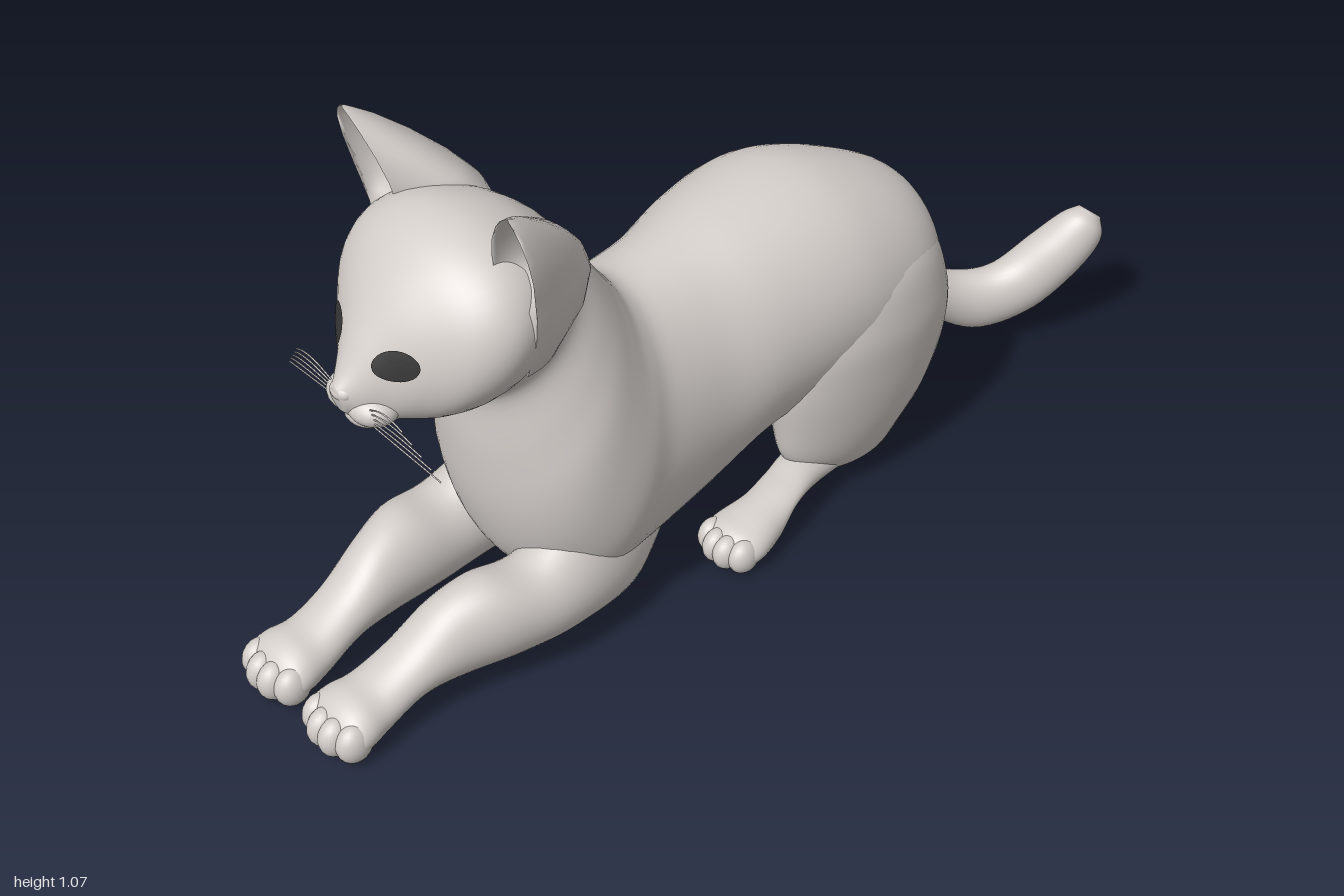
import * as THREE from 'three';

const fur = new THREE.MeshStandardMaterial({ color: 0xd3cdc9 });
fur.name = 'fur';
const dark = new THREE.MeshStandardMaterial({ color: 0x353535 });
dark.name = 'eyeDark';

const MID = 0.018; // the head and limbs sit slightly to the model's left

// Smooth closed skin through loops of points, with a pole at each end
function skin(loops) {
  const n = loops[0].length, pos = [], idx = [];
  loops.forEach(l => l.forEach(p => pos.push(p.x, p.y, p.z)));
  for (let i = 0; i < loops.length - 1; i++) for (let j = 0; j < n; j++) {
    const a = i * n + j, b = i * n + (j + 1) % n;
    idx.push(a, b, a + n, b, b + n, a + n);
  }
  [0, loops.length - 1].forEach((row, end) => {
    const c = new THREE.Vector3();
    loops[row].forEach(p => c.addScaledVector(p, 1 / n));
    const pole = pos.length / 3;
    pos.push(c.x, c.y, c.z);
    for (let j = 0; j < n; j++) {
      const a = row * n + j, b = row * n + (j + 1) % n;
      end ? idx.push(a, b, pole) : idx.push(b, a, pole);
    }
  });
  // turn the faces outward if the enclosed volume is negative
  const at = i => new THREE.Vector3().fromArray(pos, i * 3);
  let volume = 0;
  for (let i = 0; i < idx.length; i += 3) volume += at(idx[i]).dot(at(idx[i + 1]).cross(at(idx[i + 2])));
  if (volume < 0) idx.reverse();
  const g = new THREE.BufferGeometry();
  g.setAttribute('position', new THREE.Float32BufferAttribute(pos, 3));
  g.setIndex(idx);
  g.computeVertexNormals();
  return g;
}

// Loft through oval sections: [centre x, half width, z1, y1, z2, y2, egg]
// (z1, y1) and (z2, y2) are opposite ends of the oval; egg widens the first end
function loft(rows, steps = 6, sides = 40) {
  const curve = f => new THREE.CatmullRomCurve3(rows.map(f), false, 'catmullrom', 0.5);
  const first = curve(r => new THREE.Vector3(0, r[3], r[2]));
  const second = curve(r => new THREE.Vector3(0, r[5], r[4]));
  const size = curve(r => new THREE.Vector3(r[0], r[1], r[6] || 0));
  const loops = [], count = (rows.length - 1) * steps;
  for (let i = 0; i <= count; i++) {
    const t = i / count, a = first.getPoint(t), b = second.getPoint(t), s = size.getPoint(t);
    loops.push(Array.from({ length: sides }, (_, j) => {
      const q = j / sides * Math.PI * 2;
      const p = b.clone().lerp(a, 0.5 + 0.5 * Math.sin(q));
      p.x = s.x + s.y * Math.cos(q) * (1 + s.z * Math.sin(q));
      return p;
    }));
  }
  return skin(loops);
}

function add(parent, name, geometry, material = fur) {
  const m = new THREE.Mesh(geometry, material);
  m.name = name;
  parent.add(m);
  return m;
}

function ball(parent, name, x, y, z, rx, ry, rz) {
  const m = add(parent, name, new THREE.SphereGeometry(1, 20, 14));
  m.position.set(x, y, z);
  m.scale.set(rx, ry, rz);
}

// Torso, neck and head as one continuous skin
const bodyRows = [
  [0.05, 0.05, -0.52, 0.5, -0.53, 0.4],
  [0.04, 0.14, -0.48, 0.58, -0.5, 0.27],
  [0.03, 0.198, -0.4, 0.635, -0.42, 0.21],
  [0.01, 0.236, -0.28, 0.68, -0.28, 0.19],
  [0, 0.242, -0.18, 0.69, -0.16, 0.18],
  [0, 0.225, -0.05, 0.675, -0.03, 0.145],
  [0.005, 0.205, 0.08, 0.65, 0.1, 0.085, -0.05],
  [0.01, 0.217, 0.18, 0.637, 0.3, 0.05, -0.08],
  [0.018, 0.23, 0.23, 0.65, 0.42, 0.06, -0.08],
  [0.018, 0.23, 0.26, 0.685, 0.51, 0.16, -0.06],
  [0.018, 0.22, 0.285, 0.72, 0.555, 0.29, -0.04],
  [0.018, 0.195, 0.315, 0.765, 0.57, 0.43],
  [0.018, 0.172, 0.355, 0.825, 0.572, 0.555],
  [0.018, 0.185, 0.4, 0.88, 0.6, 0.59, 0.08],
  [0.018, 0.212, 0.47, 0.93, 0.63, 0.592, 0.12],
  [0.018, 0.222, 0.56, 0.952, 0.66, 0.595, 0.12],
  [0.018, 0.195, 0.64, 0.93, 0.7, 0.6, 0.1],
  [0.018, 0.13, 0.71, 0.87, 0.74, 0.607, 0.08],
  [0.018, 0.07, 0.765, 0.795, 0.775, 0.617],
  [0.018, 0.038, 0.805, 0.73, 0.8, 0.63],
  [0.018, 0.018, 0.83, 0.7, 0.818, 0.65],
];

const armRows = [
  [0.1, 0.035, 0.33, 0.28, 0.17, 0.12],
  [0.128, 0.08, 0.45, 0.265, 0.3, 0.055],
  [0.135, 0.086, 0.545, 0.225, 0.46, 0.045],
  [0.125, 0.083, 0.64, 0.236, 0.58, 0.04],
  [0.11, 0.07, 0.72, 0.21, 0.7, 0.045],
  [0.1, 0.063, 0.8, 0.152, 0.79, 0.045],
  [0.095, 0.068, 0.87, 0.118, 0.87, 0.015],
  [0.095, 0.079, 0.92, 0.11, 0.92, 0.005],
  [0.095, 0.076, 0.95, 0.096, 0.95, 0.004],
  [0.095, 0.05, 0.974, 0.07, 0.974, 0.016],
];

const thighRows = [
  [0.06, 0.05, -0.2, 0.6, -0.36, 0.59],
  [0.11, 0.112, -0.13, 0.51, -0.48, 0.52],
  [0.138, 0.12, -0.075, 0.4, -0.52, 0.4],
  [0.15, 0.108, -0.065, 0.3, -0.515, 0.29],
  [0.155, 0.09, -0.08, 0.2, -0.47, 0.18],
  [0.155, 0.07, -0.1, 0.12, -0.41, 0.1],
  [0.155, 0.05, -0.15, 0.07, -0.375, 0.055],
  [0.155, 0.03, -0.2, 0.045, -0.34, 0.035],
];

const footRows = [
  [0.155, 0.03, -0.3, 0.08, -0.3, 0.04],
  [0.165, 0.048, -0.15, 0.12, -0.15, 0.05],
  [0.19, 0.05, -0.06, 0.112, -0.06, 0.06],
  [0.2, 0.058, 0, 0.102, 0, 0.012],
  [0.205, 0.07, 0.06, 0.09, 0.06, 0.003],
  [0.205, 0.065, 0.095, 0.08, 0.095, 0.004],
  [0.205, 0.042, 0.12, 0.058, 0.12, 0.016],
];

const tailRows = [
  [0, 0.075, -0.47, 0.53, -0.43, 0.34],
  [-0.05, 0.062, -0.55, 0.4, -0.52, 0.25],
  [-0.045, 0.058, -0.605, 0.3, -0.59, 0.17],
  [-0.01, 0.056, -0.68, 0.215, -0.68, 0.085],
  [0.03, 0.06, -0.75, 0.188, -0.76, 0.045],
  [0.075, 0.063, -0.81, 0.2, -0.86, 0.075],
  [0.118, 0.063, -0.87, 0.26, -0.94, 0.16],
  [0.145, 0.05, -0.92, 0.31, -0.988, 0.23],
  [0.15, 0.025, -0.955, 0.32, -0.994, 0.285],
];

// Ear sections: [y, inner x, outer x, rim z, back depth, hollow depth, ridge x, inward flare]
const earRows = [
  [0.7, 0.1, 0.19, 0.56, 0.1, 0, 0.13, 0],
  [0.79, 0.12, 0.224, 0.565, 0.16, 0, 0.14, 0],
  [0.85, 0.15, 0.235, 0.57, 0.178, 0.003, 0.14, 0.08],
  [0.87, 0.143, 0.238, 0.574, 0.176, 0.025, 0.14, 0.08],
  [0.9, 0.137, 0.244, 0.58, 0.168, 0.05, 0.145, 0.08],
  [0.94, 0.142, 0.252, 0.588, 0.142, 0.06, 0.165, 0.065],
  [0.99, 0.16, 0.256, 0.6, 0.1, 0.052, 0.195, 0.032],
  [1.035, 0.187, 0.25, 0.611, 0.055, 0.03, 0.213, 0.012],
  [1.058, 0.206, 0.241, 0.616, 0.025, 0.013, 0.222, 0],
  [1.07, 0.222, 0.231, 0.618, 0.008, 0.003, 0.227, 0],
];
function earGeometry(side) {
  return skin(earRows.map(([y, xi, xo, z, back, hollow, ridge, flare]) =>
    Array.from({ length: 40 }, (_, j) => {
      const q = j / 40 * Math.PI * 2, c = Math.cos(q), s = Math.abs(Math.sin(q)), isBack = j < 20;
      const mid = isBack ? ridge : (xi + xo) / 2;
      const bulge = isBack && c > 0 ? flare * 2 * s * c : 0;
      const x = mid - c * (c > 0 ? mid - xi : xo - mid) - bulge;
      return new THREE.Vector3(MID + side * x, y, z - s * (isBack ? back : hollow));
    })));
}

export function createModel() {
  const cat = new THREE.Group();
  cat.name = 'cat';
  const body = add(cat, 'torsoAndHead', loft(bodyRows, 5, 48));
  add(cat, 'tail', loft(tailRows));
  const ray = new THREE.Raycaster(), forward = new THREE.Vector3(0, 0, -1);

  for (const side of [1, -1]) {
    const label = side > 0 ? 'left' : 'right';
    const place = (rows, mid) => rows.map(r => [mid + side * r[0], ...r.slice(1)]);

    // Front leg with toes
    const arm = new THREE.Group();
    arm.name = label + 'FrontLeg';
    cat.add(arm);
    add(arm, 'frontLimb', loft(place(armRows, 0.014)));
    // Hind leg; the right haunch ends further forward
    const hind = new THREE.Group();
    hind.name = label + 'HindLeg';
    cat.add(hind);
    const thigh = place(thighRows, 0).map((r, i) => {
      if (side < 0 && i < 5) r[4] += 0.06;
      return r;
    });
    add(hind, 'thigh', loft(thigh));
    add(hind, 'foot', loft(place(footRows, 0)));
    for (const k of [-1.5, -0.5, 0.5, 1.5]) {
      const setBack = Math.abs(k) > 1 ? 0.014 : 0;
      ball(arm, 'toe', 0.014 + side * 0.095 + k * 0.034, 0.047, 0.96 - setBack, 0.029, 0.041, 0.037);
      ball(hind, 'toe', side * 0.205 + k * 0.029, 0.04, 0.106 - setBack, 0.026, 0.036, 0.034);
    }

    add(cat, label + 'Ear', earGeometry(side));

    // Eye: a thin oval laid on the face
    const eye = new THREE.RingGeometry(0.001, 1, 32, 5);
    eye.scale(0.038, 0.028, 1);
    eye.rotateZ(side * 0.12);
    eye.translate(MID + side * 0.083, 0.76, 0);
    const p = eye.attributes.position;
    for (let i = 0; i < p.count; i++) {
      ray.set(new THREE.Vector3(p.getX(i), p.getY(i), 2), forward);
      const hit = ray.intersectObject(body)[0];
      p.setZ(i, (hit ? hit.point.z : 0.74) + 0.004);
    }
    eye.computeVertexNormals();
    add(cat, label + 'Eye', eye, dark);

    // Whisker pad and whiskers
    ball(cat, label + 'WhiskerPad', MID + side * 0.028, 0.654, 0.77, 0.052, 0.032, 0.046);
    for (let k = 0; k < 5; k++) {
      const x = MID + side * 0.05, y = 0.64 + k * 0.007, reach = 0.17 - k * 0.017;
      const path = new THREE.QuadraticBezierCurve3(
        new THREE.Vector3(x, y, 0.795),
        new THREE.Vector3(x + side * reach * 0.55, y + 0.012 + k * 0.008, 0.805),
        new THREE.Vector3(x + side * reach, y - 0.035 + k * 0.013, 0.775 + k * 0.006));
      add(cat, label + 'Whisker', new THREE.TubeGeometry(path, 10, 0.0015, 5));
    }
  }
  ball(cat, 'nose', MID, 0.691, 0.812, 0.026, 0.017, 0.019);
  ball(cat, 'chin', MID, 0.625, 0.768, 0.045, 0.025, 0.036);
  return cat;
}
